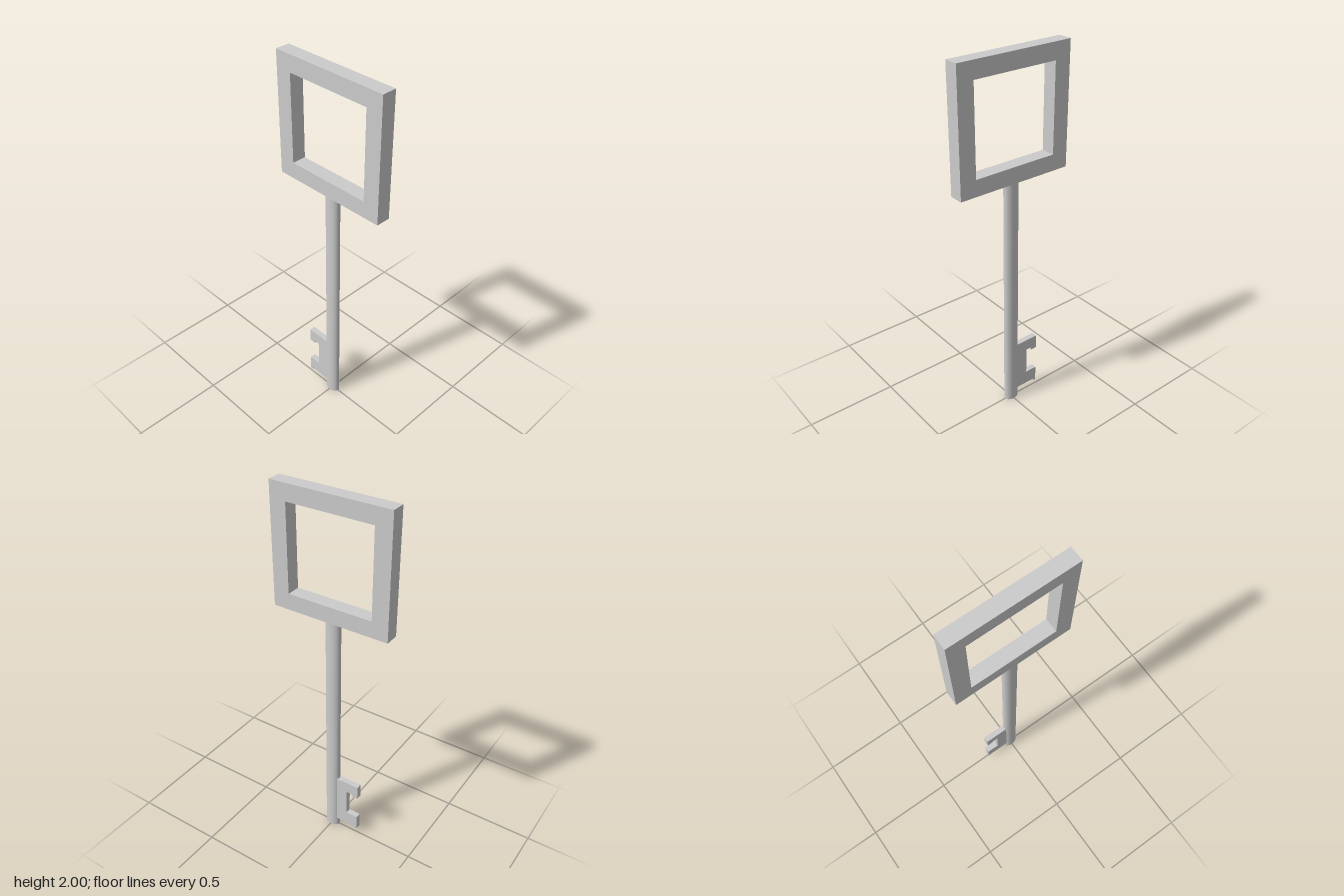
import * as THREE from 'three';

const material = new THREE.MeshStandardMaterial({ color: 0xcccccc });

// Closed path through [x, y] corners
const trace = (path, points) => {
  points.forEach(([x, y], i) => (i ? path.lineTo(x, y) : path.moveTo(x, y)));
  path.closePath();
  return path;
};

const rectangle = (halfWidth, bottom, top) => [
  [-halfWidth, bottom], [halfWidth, bottom], [halfWidth, top], [-halfWidth, top],
];

// Flat plate of the given thickness, centred on z = 0
function plate(name, shape, depth) {
  const geometry = new THREE.ExtrudeGeometry(shape, { depth, bevelEnabled: false });
  geometry.translate(0, 0, -depth / 2);
  const mesh = new THREE.Mesh(geometry, material);
  mesh.name = name;
  return mesh;
}

export function createModel() {
  const key = new THREE.Group();
  key.name = 'key';

  // Square handle with a square opening
  const bowShape = trace(new THREE.Shape(), rectangle(0.325, 1.355, 2));
  bowShape.holes.push(trace(new THREE.Path(), rectangle(0.236, 1.443, 1.912)));
  key.add(plate('bow', bowShape, 0.077));

  // Oval shaft, flattened front to back
  const shaftGeometry = new THREE.CylinderGeometry(0.042, 0.042, 1.355, 40);
  shaftGeometry.scale(1, 1, 0.68);
  shaftGeometry.translate(0, 1.355 / 2, 0);
  const shaft = new THREE.Mesh(shaftGeometry, material);
  shaft.name = 'shaft';
  key.add(shaft);

  // Toothed bit, its inner edge sunk into the shaft
  const bitShape = trace(new THREE.Shape(), [
    [-0.02, 0.355], [-0.169, 0.355], [-0.169, 0.275], [-0.132, 0.275],
    [-0.132, 0.29], [-0.1, 0.29], [-0.1, 0.132], [-0.169, 0.132],
    [-0.169, 0.042], [-0.153, 0.042], [-0.153, 0.053], [-0.02, 0.053],
  ]);
  key.add(plate('bit', bitShape, 0.032));

  return key;
}
